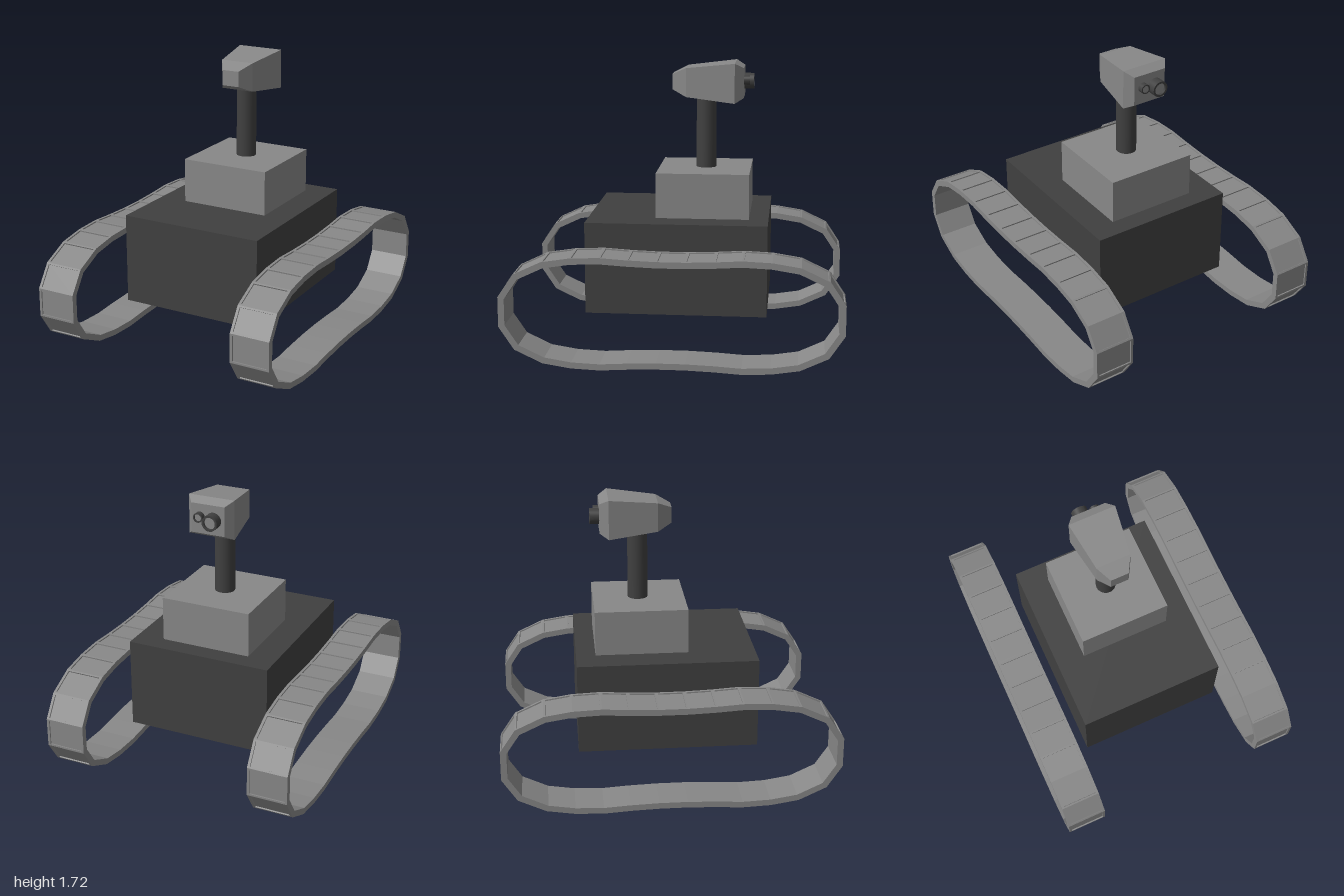
import * as THREE from 'three';
import { ConvexGeometry } from 'three/addons/geometries/ConvexGeometry.js';

const grey = new THREE.MeshStandardMaterial({ color: 0x888888 });
const dark = new THREE.MeshStandardMaterial({ color: 0x404040 });

function add(parent, name, geometry, material, x = 0, y = 0, z = 0) {
  const mesh = new THREE.Mesh(geometry, material);
  mesh.name = name;
  mesh.position.set(x, y, z);
  parent.add(mesh);
  return mesh;
}

// Closed track outline as [z, y]: one quarter mirrored to all four
function trackOutline() {
  const mid = 0.336;
  const q = [[0.083, 0.656], [0.25, 0.662], [0.41, 0.672], [0.58, 0.665],
    [0.745, 0.639], [0.91, 0.561], [1, 0.425]];
  const front = [...q, ...q.map(([z, y]) => [z, 2 * mid - y]).reverse()];
  const back = front.map(([z, y]) => [-z, y]).reverse();
  return [...front, ...back].map(([z, y]) => new THREE.Vector2(z, y));
}

// Band of flat links, each with a shallow recessed panel on its outer face
function trackGeometry(halfWidth, thickness) {
  const pts = trackOutline(), n = pts.length, pos = [];
  const normal = i => {
    const d = pts[(i + 1) % n].clone().sub(pts[i % n]).normalize();
    return new THREE.Vector2(-d.y, d.x);
  };
  // Mitred inner corners
  const inner = pts.map((p, i) => {
    const a = normal(i + n - 1), b = normal(i);
    const m = a.clone().add(b).normalize();
    return p.clone().addScaledVector(m, -thickness / m.dot(b));
  });
  const quad = (a, b, c, d, want) => {
    const face = b.clone().sub(a).cross(c.clone().sub(a));
    const order = face.dot(want) > 0 ? [a, b, c, a, c, d] : [a, c, b, a, d, c];
    order.forEach(v => pos.push(v.x, v.y, v.z));
  };
  const rect = (p, q, w) => [[p, -w], [q, -w], [q, w], [p, w]]
    .map(([v, x]) => new THREE.Vector3(x, v.y, v.x));

  for (let i = 0; i < n; i++) {
    const j = (i + 1) % n, A = pts[i], B = pts[j], nn = normal(i);
    const out = new THREE.Vector3(0, nn.y, nn.x);
    const outer = rect(A, B, halfWidth), under = rect(inner[i], inner[j], halfWidth);
    const inset = 0.011 / A.distanceTo(B);
    const rim = rect(A.clone().lerp(B, inset), B.clone().lerp(A, inset), halfWidth - 0.016);
    const floor = rim.map(v => v.clone().addScaledVector(out, -0.008));
    const centre = floor[0].clone().add(floor[2]).multiplyScalar(0.5);
    for (let k = 0; k < 4; k++) {
      const l = (k + 1) % 4;
      quad(outer[k], outer[l], rim[l], rim[k], out);
      const edge = rim[k].clone().add(rim[l]).multiplyScalar(0.5);
      quad(rim[k], rim[l], floor[l], floor[k], centre.clone().sub(edge));
    }
    quad(...floor, out);
    quad(...under, out.clone().negate());
    quad(outer[0], outer[1], under[1], under[0], new THREE.Vector3(-1, 0, 0));
    quad(outer[2], outer[3], under[3], under[2], new THREE.Vector3(1, 0, 0));
  }
  const g = new THREE.BufferGeometry();
  g.setAttribute('position', new THREE.Float32BufferAttribute(pos, 3));
  g.computeVertexNormals();
  return g;
}

// Hollow lens barrel pointing backwards, with a recessed disc
function addLens(parent, name, r, length, x, y, z) {
  const lens = new THREE.Group();
  lens.name = name;
  const ring = new THREE.Shape().absarc(0, 0, r, 0, Math.PI * 2);
  ring.holes.push(new THREE.Path().absarc(0, 0, r * 0.75, 0, Math.PI * 2, true));
  add(lens, 'lensBarrel', new THREE.ExtrudeGeometry(ring,
    { depth: length, bevelEnabled: false, curveSegments: 24 }), dark);
  add(lens, 'lensGlass', new THREE.CircleGeometry(r * 0.77, 24), grey, 0, 0, length * 0.75);
  lens.rotation.y = Math.PI;
  lens.position.set(x, y, z);
  parent.add(lens);
}

export function createModel() {
  const model = new THREE.Group();
  model.name = 'trackedRobot';

  // Hull, upper box and neck
  add(model, 'hull', new THREE.BoxGeometry(0.9, 0.553, 1.085), dark, 0, 0.5235, 0);
  add(model, 'upperBox', new THREE.BoxGeometry(0.56, 0.273, 0.56), grey, 0.002, 0.9365, -0.145);
  add(model, 'neck', new THREE.CylinderGeometry(0.061, 0.061, 0.48, 32), dark, 0, 1.305, -0.15);

  // Head: rectangular sections [z, half width, half height]
  const head = new THREE.Group();
  head.name = 'head';
  model.add(head);
  const corners = [];
  for (const [z, w, h] of [[0.054, 0.055, 0.047], [-0.032, 0.105, 0.0875],
    [-0.327, 0.145, 0.12], [-0.38, 0.105, 0.09]]) {
    for (const sx of [-1, 1]) for (const sy of [-1, 1]) {
      corners.push(new THREE.Vector3(sx * w, 1.598 + sy * h, z));
    }
  }
  add(head, 'headShell', new ConvexGeometry(corners), grey);
  addLens(head, 'largeLens', 0.048, 0.062, -0.036, 1.598, -0.376);
  addLens(head, 'smallLens', 0.029, 0.038, 0.049, 1.612, -0.376);

  // Tracks
  const track = trackGeometry(0.1225, 0.037);
  add(model, 'leftTrack', track, grey, 0.6525);
  add(model, 'rightTrack', track, grey, -0.6525);
  return model;
}
